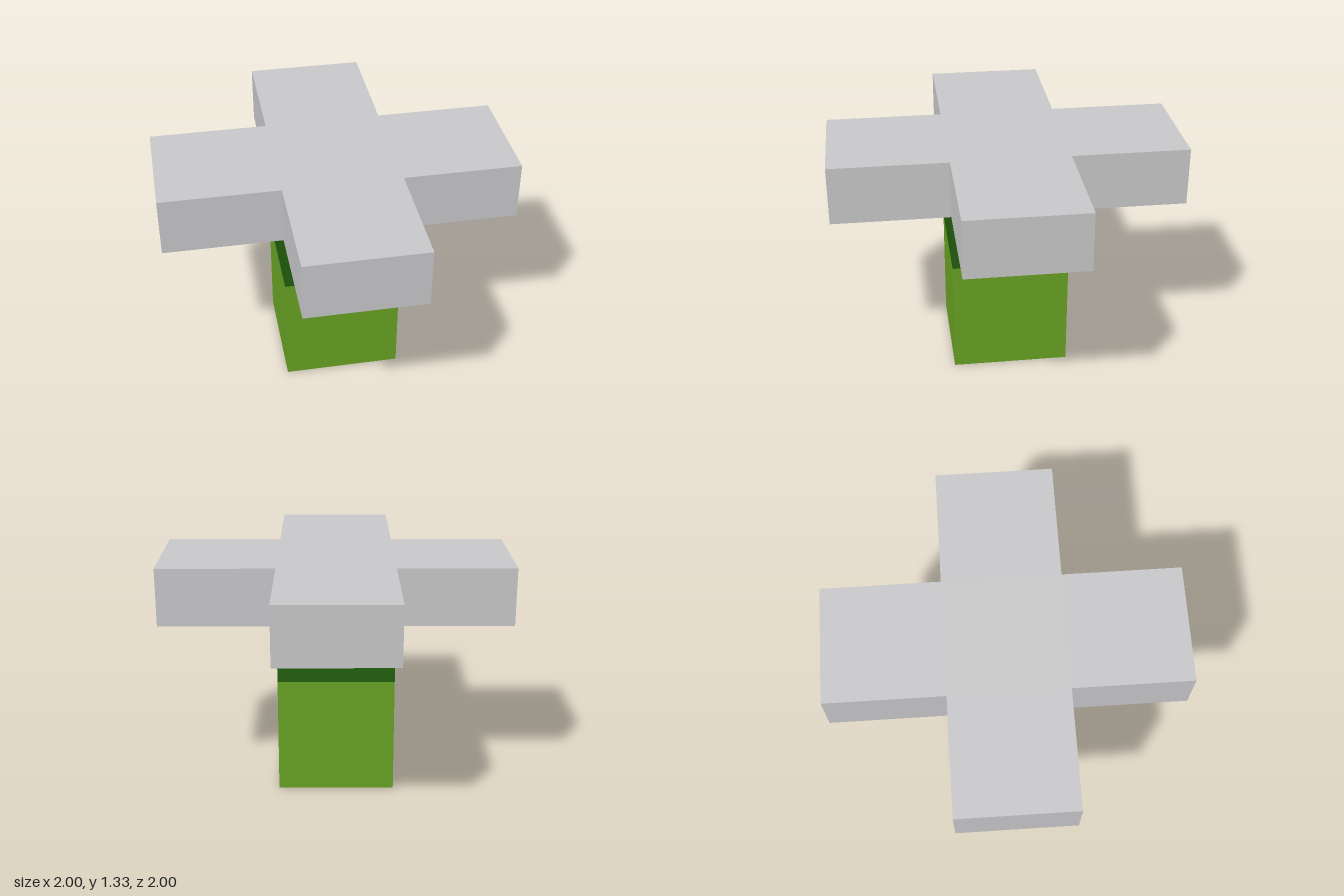
import * as THREE from 'three';

const ARM = 1 / 3; // half width of the trunk and of each arm

function material(name, color) {
  const m = new THREE.MeshStandardMaterial({ color });
  m.name = name;
  return m;
}

export function createModel() {
  const group = new THREE.Group();
  const lightGreen = material('light green', 0x68a224);
  const darkGreen = material('dark green', 0x225f0e);
  const lightGrey = material('light grey', 0xc8c8ca);

  const add = (name, geometry, mat, y) => {
    const mesh = new THREE.Mesh(geometry, mat);
    mesh.name = name;
    mesh.position.y = y;
    group.add(mesh);
  };

  // Square trunk with a darker band under the top
  add('trunk', new THREE.BoxGeometry(2 * ARM, 2 * ARM, 2 * ARM), lightGreen, ARM);
  add('trunkBand', new THREE.BoxGeometry(2 * ARM, ARM, 2 * ARM), darkGreen, 2.5 * ARM);

  // Cross-shaped slab: the same three corners turned through four quarters
  const corners = [];
  for (let i = 0; i < 4; i++) {
    for (const [x, y] of [[1, -ARM], [1, ARM], [ARM, ARM]]) {
      corners.push(new THREE.Vector2(x, y).rotateAround(new THREE.Vector2(), i * Math.PI / 2));
    }
  }
  const slab = new THREE.ExtrudeGeometry(new THREE.Shape(corners), { depth: ARM, bevelEnabled: false });
  slab.rotateX(-Math.PI / 2);
  add('crossTop', slab, lightGrey, 1);

  return group;
}
